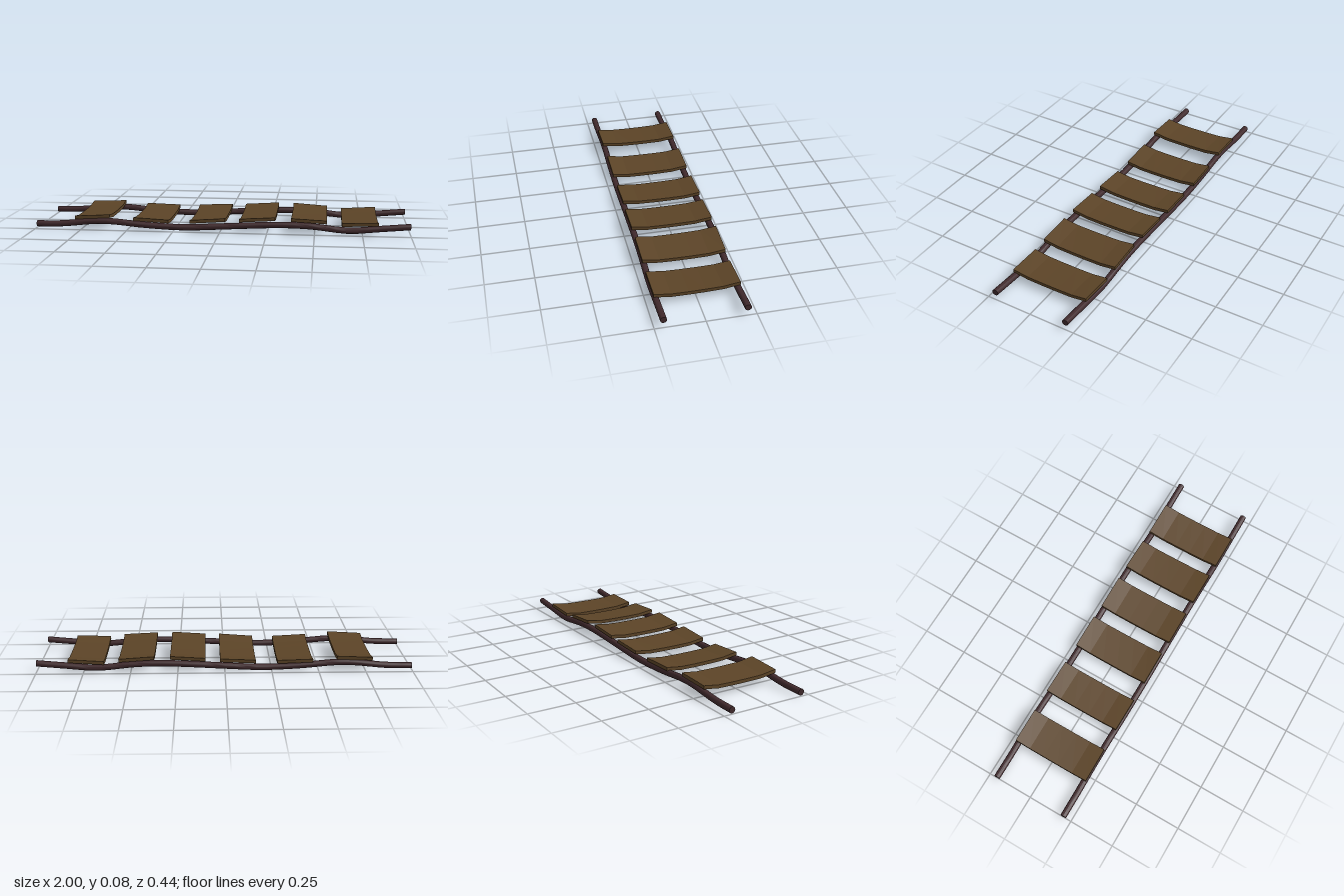
import * as THREE from 'three';
import { toCreasedNormals } from 'three/addons/utils/BufferGeometryUtils.js';

const wood = new THREE.MeshStandardMaterial({ color: 0x5c4427, flatShading: true });
const rope = new THREE.MeshStandardMaterial({ color: 0x40292c });

// Height of the ropes along the bridge
const sway = new THREE.CatmullRomCurve3([
  [-1, 0.022], [-0.87, 0.024], [-0.64, 0.044], [-0.4, 0.026], [-0.2, 0.018], [0, 0.027],
  [0.2, 0.038], [0.34, 0.043], [0.48, 0.039], [0.68, 0.02], [0.83, 0.032], [1, 0.047],
].map(([x, y]) => new THREE.Vector3(x, y, 0)));
const swayPoints = sway.getPoints(200);

function ropeHeight(x) {
  const i = Math.max(1, swayPoints.findIndex((p) => p.x >= x - 1e-6));
  const a = swayPoints[i - 1], b = swayPoints[i];
  return THREE.MathUtils.lerp(a.y, b.y, (x - a.x) / (b.x - a.x));
}

// Capped rod bent to follow the sway
function makeRope(z) {
  const geo = new THREE.CylinderGeometry(0.017, 0.017, 2, 12, 36);
  geo.rotateZ(-Math.PI / 2);
  const pos = geo.attributes.position;
  for (let i = 0; i < pos.count; i++) {
    pos.setY(i, pos.getY(i) + ropeHeight(pos.getX(i)));
  }
  const mesh = new THREE.Mesh(toCreasedNormals(geo, 0.9), rope);
  mesh.position.z = z;
  return mesh;
}

// Board sagging between the ropes, tilted along x and slightly twisted
function makePlank({ x, left, right, twist, z }) {
  const width = 0.19, thick = 0.018, depth = 0.432;
  const geo = new THREE.BoxGeometry(width, thick, depth, 1, 1, 5);
  const pos = geo.attributes.position;
  for (let i = 0; i < pos.count; i++) {
    const u = pos.getX(i) / width, w = pos.getZ(i) / depth;
    const sag = 0.014 * (1 - Math.pow(Math.abs(2 * w), 4));
    const top = THREE.MathUtils.lerp(left, right, u + 0.5);
    pos.setY(i, pos.getY(i) + top - thick / 2 - sag + twist * u * w);
  }
  geo.computeVertexNormals();
  const mesh = new THREE.Mesh(geo, wood);
  mesh.position.set(x, 0, z);
  return mesh;
}

export function createModel() {
  const group = new THREE.Group();
  group.name = 'ropeBridge';

  const frontRope = makeRope(0.205);
  frontRope.name = 'frontRope';
  const backRope = makeRope(-0.205);
  backRope.name = 'backRope';
  group.add(frontRope, backRope);

  // Centre, top height at each side, twist and sideways shift of each plank
  const planks = [
    { x: -0.693, left: 0.071, right: 0.08, twist: 0.004, z: 0 },
    { x: -0.375, left: 0.066, right: 0.058, twist: -0.004, z: -0.004 },
    { x: -0.07, left: 0.06, right: 0.071, twist: 0.006, z: -0.004 },
    { x: 0.197, left: 0.072, right: 0.084, twist: 0, z: 0 },
    { x: 0.47, left: 0.082, right: 0.071, twist: 0.004, z: 0 },
    { x: 0.738, left: 0.059, right: 0.068, twist: -0.006, z: 0 },
  ];
  planks.forEach((p, i) => {
    const plank = makePlank(p);
    plank.name = `plank${i + 1}`;
    group.add(plank);
  });
  return group;
}
